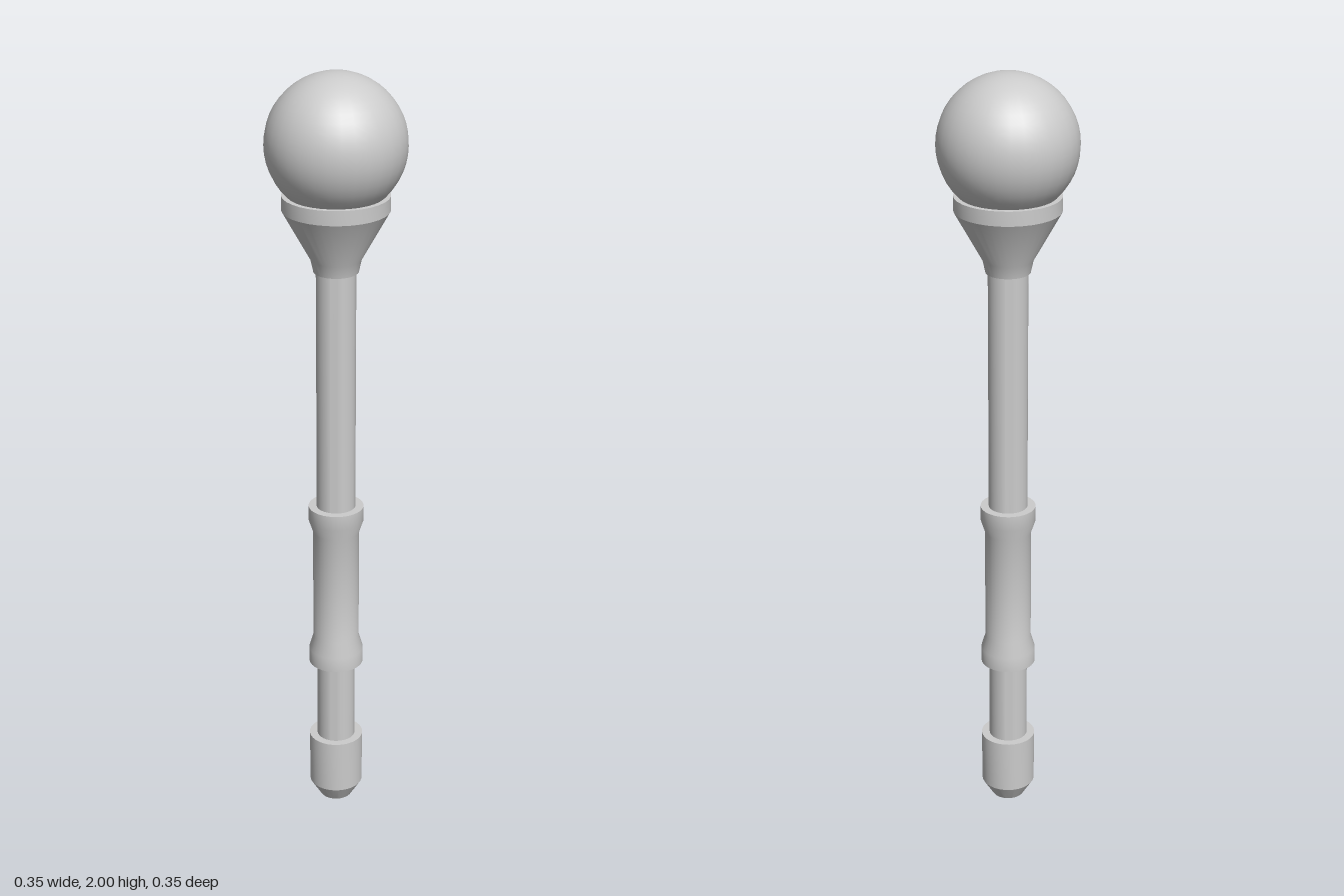
import * as THREE from 'three';
import { toCreasedNormals } from 'three/addons/utils/BufferGeometryUtils.js';

const SIDES = 32;
const material = new THREE.MeshStandardMaterial({ color: 0xcccccc });

// Turned part from [radius, height] pairs, listed bottom to top
function turned(name, profile) {
  const points = profile.map(([r, y]) => new THREE.Vector2(r, y));
  const lathe = new THREE.LatheGeometry(points, SIDES);
  const mesh = new THREE.Mesh(toCreasedNormals(lathe, 0.4), material);
  mesh.name = name;
  return mesh;
}

export function createModel() {
  const group = new THREE.Group();
  group.name = 'scepter';

  // Chamfered foot cap
  group.add(turned('footCap', [
    [0, 0], [0.042, 0], [0.07, 0.045], [0.071, 0.19], [0.05, 0.19],
  ]));

  // Straight rod running from the foot to the head
  group.add(turned('shaft', [[0.05, 0.04], [0.05, 1.54]]));

  // Hand grip with a flared ring at each end
  group.add(turned('grip', [
    [0.05, 0.415], [0.071, 0.415], [0.071, 0.455], [0.06, 0.492],
    [0.06, 0.797], [0.071, 0.83], [0.071, 0.87], [0.05, 0.87],
  ]));

  // Flared socket: narrow neck, cone and rim
  group.add(turned('socket', [
    [0.05, 1.505], [0.056, 1.505], [0.063, 1.537], [0.133, 1.663],
    [0.133, 1.7], [0.11, 1.7],
  ]));

  // Ball resting in the socket
  const ball = new THREE.Mesh(new THREE.SphereGeometry(0.174, SIDES, 24), material);
  ball.name = 'ball';
  ball.position.y = 1.826;
  group.add(ball);

  return group;
}
